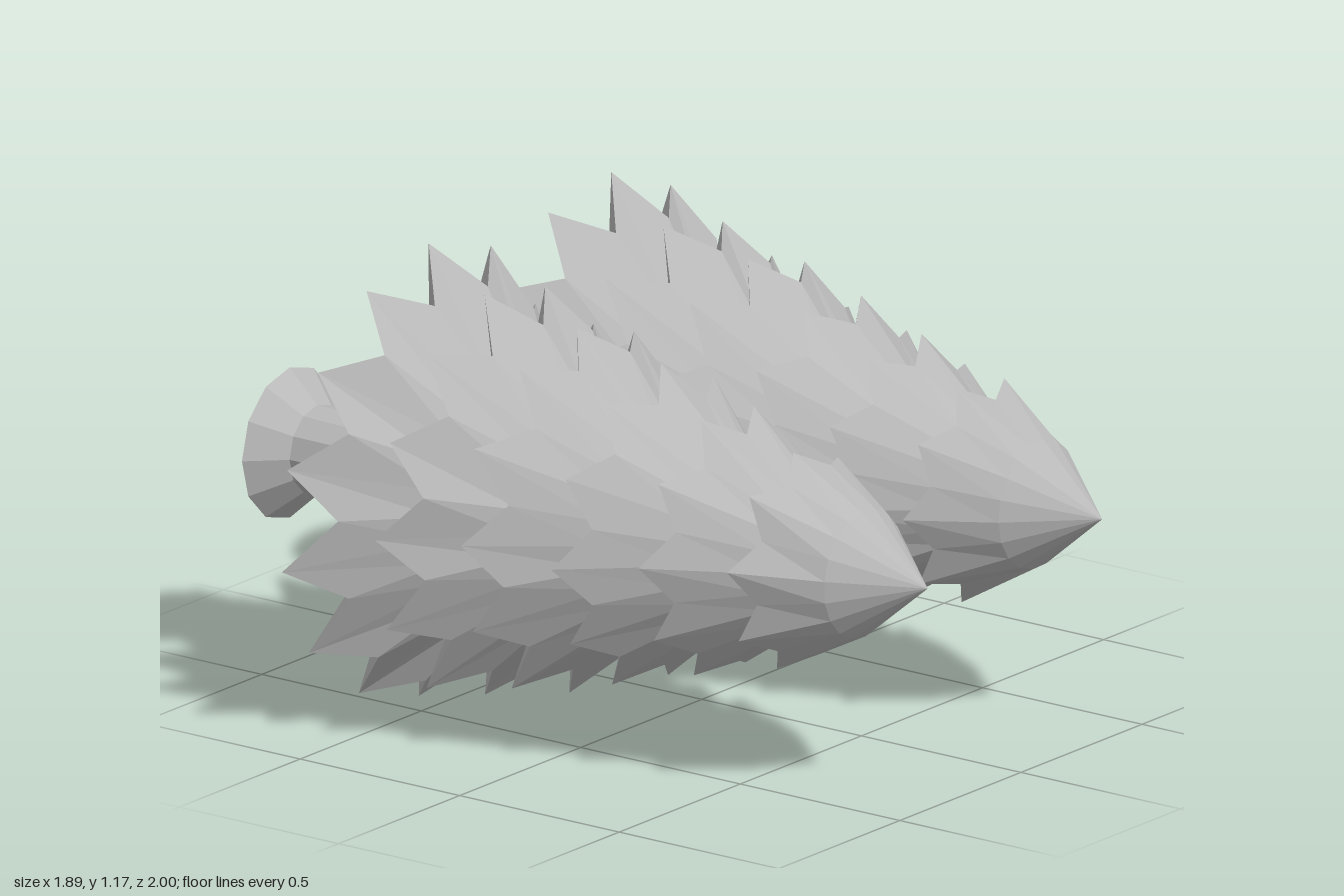
import * as THREE from 'three';

const needleGrey = new THREE.MeshStandardMaterial({ color: 0xb8b8b8, flatShading: true, side: THREE.DoubleSide });
needleGrey.name = 'plain grey';

// Tiers from trunk to tip: points, tip radius, z of the points
const TIERS = [
  [14, 0.585, -0.58], [13, 0.525, -0.34], [12, 0.475, -0.11],
  [11, 0.41, 0.13], [10, 0.347, 0.36], [9, 0.285, 0.59],
];

// Skin a list of rings running round the z axis
function loft(rings) {
  const n = rings[0].length, pos = [], index = [];
  rings.forEach(ring => ring.forEach(p => pos.push(...p)));
  for (let i = 0; i < rings.length - 1; i++) {
    for (let j = 0; j < n; j++) {
      const k = (j + 1) % n;
      const a = i * n + j, b = i * n + k, c = a + n, d = b + n;
      index.push(a, b, d, a, d, c);
    }
  }
  const g = new THREE.BufferGeometry();
  g.setAttribute('position', new THREE.Float32BufferAttribute(pos, 3));
  g.setIndex(index);
  g.computeVertexNormals();
  return g;
}

// A star-edged branch skirt: pleated underside, jagged rim, cone above
function tierGeometry(level, phase) {
  const [points, radius, z] = TIERS[level];
  const last = level === TIERS.length - 1;
  const ring = place => Array.from({ length: points * 2 }, (_, j) => {
    const angle = phase + j * Math.PI / points;
    const [r, zz] = place(j);
    return [r * Math.cos(angle), r * Math.sin(angle), zz];
  });
  const rim = ring(j => {
    const wobble = 1 + 0.02 * Math.sin(j * 2.4 + level + phase);
    return j % 2 ? [radius * 0.85 * wobble, z + radius * 0.18] : [radius * wobble, z];
  });
  const rings = [ring(() => [0.08, z + 0.015]), rim];
  if (last) rings.push(ring(() => [0.165, 0.8]), ring(() => [0, 1]));
  else rings.push(ring(() => [radius * 0.5, TIERS[level + 1][2] + 0.03]));
  return loft(rings);
}

function makeTree(name, x, phases) {
  const tree = new THREE.Group();
  tree.name = name;
  tree.position.set(x, 0.61, 0);

  // Trunk with a flared foot
  const profile = [[0, -1], [0.197, -1], [0.115, -0.913], [0.1, -0.5]];
  const trunk = new THREE.Mesh(
    new THREE.LatheGeometry(profile.map(p => new THREE.Vector2(...p)), 12), needleGrey);
  trunk.rotation.x = Math.PI / 2;
  trunk.name = 'trunk';
  tree.add(trunk);

  // Branch tiers
  phases.forEach((degrees, level) => {
    const tier = new THREE.Mesh(tierGeometry(level, THREE.MathUtils.degToRad(degrees)), needleGrey);
    tier.name = 'branchTier' + (level + 1);
    tree.add(tier);
  });
  return tree;
}

export function createModel() {
  const model = new THREE.Group();
  model.name = 'twoLyingTrees';
  model.add(makeTree('rightTree', -0.385, [88, 180, 178, 182, 177, 173]));
  model.add(makeTree('leftTree', 0.335, [7.6, 12, 0, 3, 2, -18]));
  return model;
}
